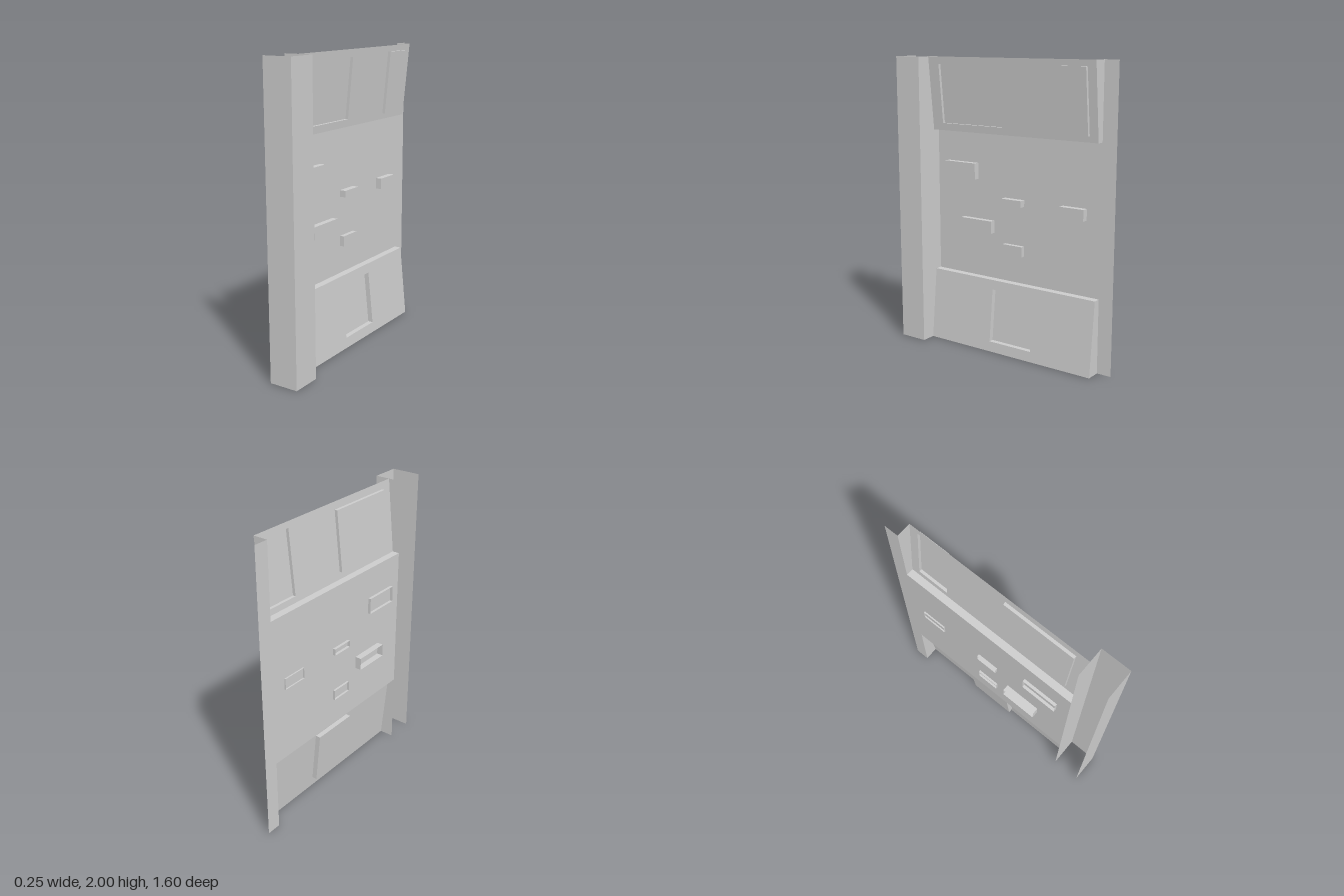
import * as THREE from 'three';

const BACK = -0.08, RIM = 0.12, Z0 = -0.7, Z1 = 0.6;

export function createModel() {
  const model = new THREE.Group();
  model.name = 'wallPanel';
  const material = new THREE.MeshStandardMaterial({
    color: 0xcccccc, flatShading: true, side: THREE.DoubleSide,
  });
  const add = (name, geometry) => {
    const mesh = new THREE.Mesh(geometry, material);
    mesh.name = name;
    model.add(mesh);
  };

  // Flat outline; each point is [a, b]
  const outline = (pts, Type = THREE.Shape) => new Type(pts.map(([a, b]) => new THREE.Vector2(a, b)));
  const rect = (a0, a1, b0, b1) => [[a0, b0], [a1, b0], [a1, b1], [a0, b1]];

  // Sheet facing +x, spanning z and y, with optional rectangular holes
  const sideSheet = (x, z0, z1, y0, y1, holes = []) => {
    const shape = outline(rect(-z1, -z0, y0, y1));
    for (const h of holes) {
      shape.holes.push(outline(rect(-h.z1, -h.z0, h.y0, h.y1).reverse(), THREE.Path));
    }
    return new THREE.ShapeGeometry(shape).rotateY(Math.PI / 2).translate(x, 0, 0);
  };

  // Sheet facing +z, spanning x and y
  const frontSheet = (pts, z) => new THREE.ShapeGeometry(outline(pts)).translate(0, 0, z);

  // Box with one end missing: face 0 is +x, face 1 is -x
  const openBox = (x0, x1, y0, y1, z0, z1, face) => {
    const g = new THREE.BoxGeometry(x1 - x0, y1 - y0, z1 - z0);
    const index = Array.from(g.index.array).filter((_, i) => Math.floor(i / 6) !== face);
    g.setIndex(index);
    g.clearGroups();
    return g.translate((x0 + x1) / 2, (y0 + y1) / 2, (z0 + z1) / 2);
  };

  // Lean a geometry so that x follows the slope of its panel
  const lean = (g, offset) => {
    const p = g.attributes.position;
    for (let i = 0; i < p.count; i++) p.setX(i, p.getX(i) + offset(p.getY(i)));
    g.computeVertexNormals();
    return g;
  };

  // Middle panel and the narrow flange beside it
  add('middlePanel', sideSheet(BACK, Z0, Z1, 0.5, 1.5));
  add('rearFlange', sideSheet(BACK, -0.8, Z0, 0, 2));

  // Front post: channel open towards the back
  add('postInnerWall', frontSheet(rect(BACK, RIM, 0, 2), Z1));
  add('postOuterWall', frontSheet(rect(BACK, RIM, 0, 2), 0.8));
  add('postFace', sideSheet(RIM, Z1, 0.8, 0, 2));

  // Sloped panels with sunken (negative depth) or raised (positive) plates
  const slopes = [
    {
      name: 'upper', ledge: 1.5, end: 2, offset: (y) => -0.03 + (y - 1.5) * 0.1,
      plates: [
        { z0: 0.015, z1: 0.515, y0: 1.55, y1: 1.95, depth: -0.02 },
        { z0: -0.64, z1: -0.415, y0: 1.54, y1: 1.96, depth: 0.02 },
      ],
    },
    {
      name: 'lower', ledge: 0.5, end: 0, offset: (y) => 0.02 - y * 0.1,
      plates: [{ z0: -0.24, z1: 0.095, y0: 0.07, y1: 0.435, depth: -0.035 }],
    },
  ];
  for (const { name, ledge, end, offset, plates } of slopes) {
    const y0 = Math.min(ledge, end), y1 = Math.max(ledge, end);
    add(name + 'Panel', lean(sideSheet(0, Z0, Z1, y0, y1, plates), offset));
    for (const p of plates) {
      const box = openBox(Math.min(0, p.depth), Math.max(0, p.depth),
        p.y0, p.y1, p.z0, p.z1, p.depth < 0 ? 0 : 1);
      add(name + (p.depth < 0 ? 'SunkenPlate' : 'RaisedPlate'), lean(box, offset));
    }
    // Ledge between the middle and the sloped panel
    const step = new THREE.PlaneGeometry(0.05, Z1 - Z0).rotateX(-Math.PI / 2);
    add(name + 'Ledge', step.translate(BACK + 0.025, ledge, (Z0 + Z1) / 2));
    // Tapered cheek closing the rear end
    add(name + 'Cheek', frontSheet(
      [[BACK, ledge], [offset(ledge), ledge], [offset(end), end], [BACK, end]], Z0));
  }

  // Small boxes through the middle panel, open at the back: x0, x1, y0, y1, z0, z1
  const boxes = [
    [-0.10, -0.04, 1.18, 1.29, 0.255, 0.51],
    [-0.125, -0.04, 0.82, 0.905, 0.12, 0.375],
    [-0.10, -0.035, 1.03, 1.075, -0.125, 0.03],
    [-0.095, -0.05, 0.69, 0.76, -0.125, 0.03],
    [-0.09, -0.037, 1.0, 1.075, -0.6, -0.425],
  ];
  for (const b of boxes) add('smallBox', openBox(...b, 1));

  return model;
}
